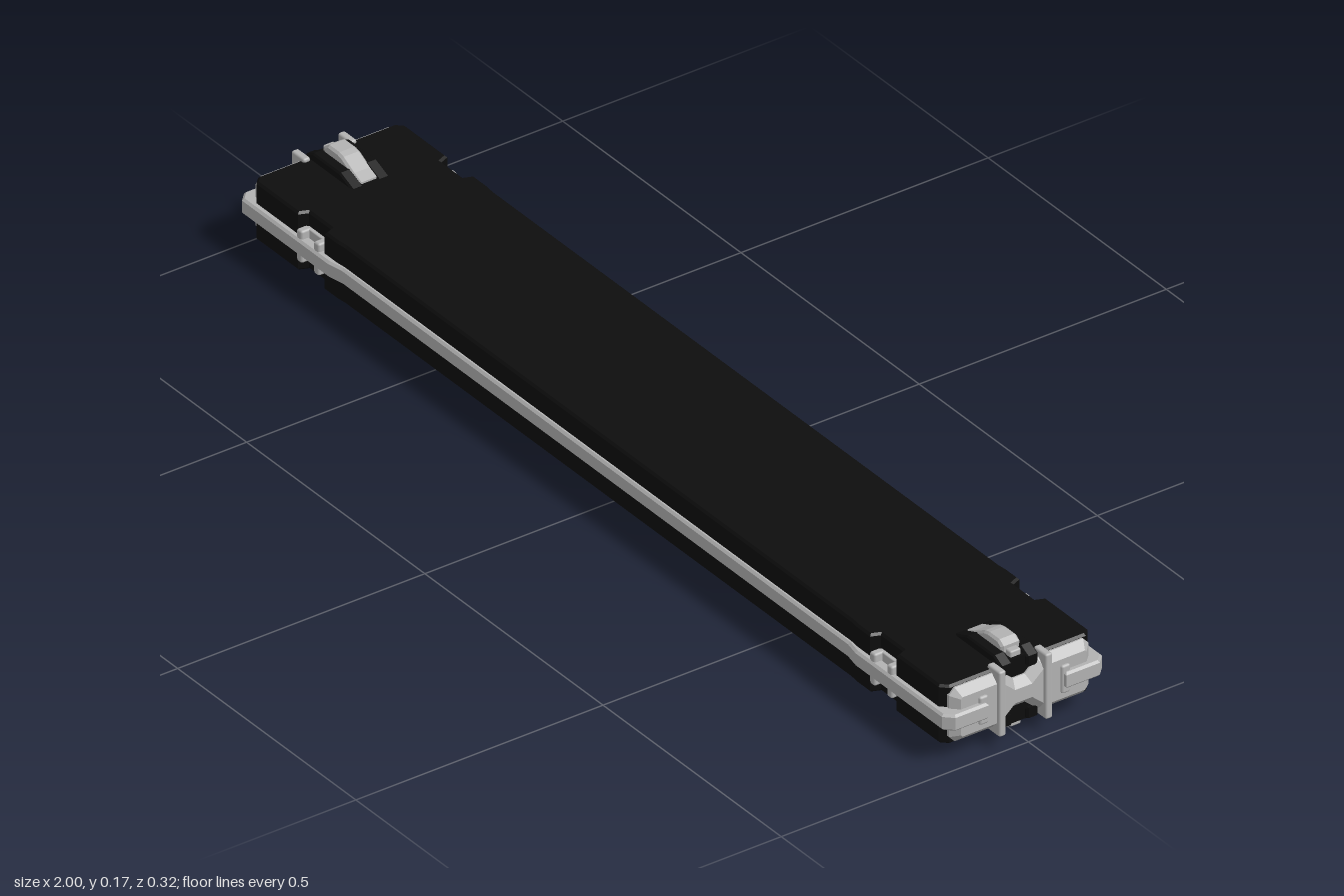
import * as THREE from 'three';
import { RoundedBoxGeometry } from 'three/addons/geometries/RoundedBoxGeometry.js';

const MID = 0.0885; // height of the horizontal symmetry plane

export function createModel() {
  const black = new THREE.MeshStandardMaterial({ color: 0x0d0d0d });
  black.name = 'black shell';
  const grey = new THREE.MeshStandardMaterial({ color: 0xb2b2b2 });
  grey.name = 'light grey trim';

  const model = new THREE.Group();
  model.name = 'slimBar';

  const shapeOf = (pts) => new THREE.Shape(pts.map(([x, y]) => new THREE.Vector2(x, y)));

  // Extrusion centred on its depth axis, with a bevel that stays inside the outline
  function slab(pts, depth, bevel, bevelDepth = bevel) {
    const geo = new THREE.ExtrudeGeometry(shapeOf(pts), {
      depth: depth - 2 * bevelDepth, bevelEnabled: true, bevelSegments: 1,
      bevelSize: bevel, bevelOffset: -bevel, bevelThickness: bevelDepth,
    });
    return geo.translate(0, 0, -depth / 2 + bevelDepth);
  }

  function add(parent, name, geo, mat, x = 0, y = 0, z = 0) {
    const mesh = new THREE.Mesh(geo, mat);
    mesh.name = name;
    mesh.position.set(x, y, z);
    parent.add(mesh);
    return mesh;
  }

  // Repeats a half outline in the other three quadrants
  function fourFold(q) {
    const r = [...q].reverse();
    return [
      ...q, ...r.map(([x, y]) => [-x, y]),
      ...q.map(([x, y]) => [-x, -y]), ...r.map(([x, y]) => [x, -y]),
    ];
  }

  // Long black body with a notch for each side clip
  const bodyOutline = fourFold([
    [0.97, 0.138], [0.957, 0.151], [0.84, 0.151], [0.833, 0.134],
    [0.772, 0.134], [0.765, 0.151], [0.73, 0.151], [0.71, 0.149],
  ]);
  add(model, 'body', slab(bodyOutline, 0.113, 0.004).rotateX(-Math.PI / 2), black, 0, MID);

  // Grey rails along the long sides, wrapping round onto both ends
  const railOuter = [[0.998, 0.078], [0.998, 0.146], [0.982, 0.162], [0.74, 0.162], [0.71, 0.156]];
  const railInner = [[0.71, 0.14], [0.95, 0.14], [0.968, 0.125], [0.968, 0.078]];
  const flip = (pts) => [...pts].reverse().map(([x, z]) => [-x, z]);
  const railOutline = [...railOuter, ...flip(railOuter), ...flip(railInner), ...railInner];
  for (const turn of [0, Math.PI]) {
    const rail = add(model, 'sideRail', slab(railOutline, 0.031, 0.004).rotateX(-Math.PI / 2), grey, 0, MID);
    rail.rotation.y = turn;
  }

  // One end assembly, built at +x and turned for the other side
  function makeEnd() {
    const end = new THREE.Group();
    end.name = 'endAssembly';

    // Cap with V cuts above and below the centre
    const capOutline = fourFold([
      [0.141, 0.04], [0.13, 0.052], [0.052, 0.052], [0.036, 0.048], [0.012, 0.027],
    ]);
    add(end, 'endCap', slab(capOutline, 0.06, 0.014).rotateY(Math.PI / 2), grey, 0.957, MID);

    // Raised lugs beside the recessed grips
    for (const s of [-1, 1]) {
      add(end, 'capBand', new RoundedBoxGeometry(0.036, 0.126, 0.014, 2, 0.004), grey, 0.976, MID, s * 0.047);
      add(end, 'gripPad', new RoundedBoxGeometry(0.02, 0.054, 0.018, 1, 0.004), grey, 0.982, MID, s * 0.083);
    }

    for (const s of [-1, 1]) {
      // Black bracket cheeks, above and below
      const cheek = [
        [0.845, 0.04], [0.845, 0.057], [0.88, 0.071], [0.955, 0.071], [0.976, 0.06], [0.976, 0.04],
      ];
      for (const side of [-1, 1]) {
        const c = add(end, 'bracketCheek', slab(cheek, 0.023, 0.003), black, 0, MID, side * 0.0265);
        if (s < 0) {
          c.rotation.x = Math.PI;
        }
      }
      add(end, 'bracketFloor', new THREE.BoxGeometry(0.1, 0.024, 0.036), black, 0.92, MID + s * 0.05, 0);

      // Curved grey latch standing in the bracket
      const latch = [
        [0.85, 0.05], [0.85, 0.06], [0.87, 0.068], [0.9, 0.084], [0.912, 0.087],
        [0.94, 0.087], [0.952, 0.079], [0.952, 0.066], [0.935, 0.05],
      ];
      const l = add(end, 'latch', slab(latch, 0.038, 0.004), grey, 0, MID);
      if (s < 0) l.rotation.x = Math.PI;
      add(end, 'latchStem', new RoundedBoxGeometry(0.016, 0.036, 0.022, 1, 0.003), grey, 0.957, MID + s * 0.055, 0);
    }

    // Grey clips sitting in the side notches
    for (const s of [-1, 1]) {
      add(end, 'clipBack', new RoundedBoxGeometry(0.058, 0.06, 0.008, 1, 0.002), grey, 0.803, MID, s * 0.138);
      for (const x of [0.78, 0.828]) {
        add(end, 'clipPost', new RoundedBoxGeometry(0.015, 0.062, 0.022, 1, 0.004), grey, x, MID, s * 0.147);
      }
    }
    return end;
  }

  const left = makeEnd();
  const right = makeEnd();
  right.rotation.y = Math.PI;
  model.add(left, right);
  return model;
}
